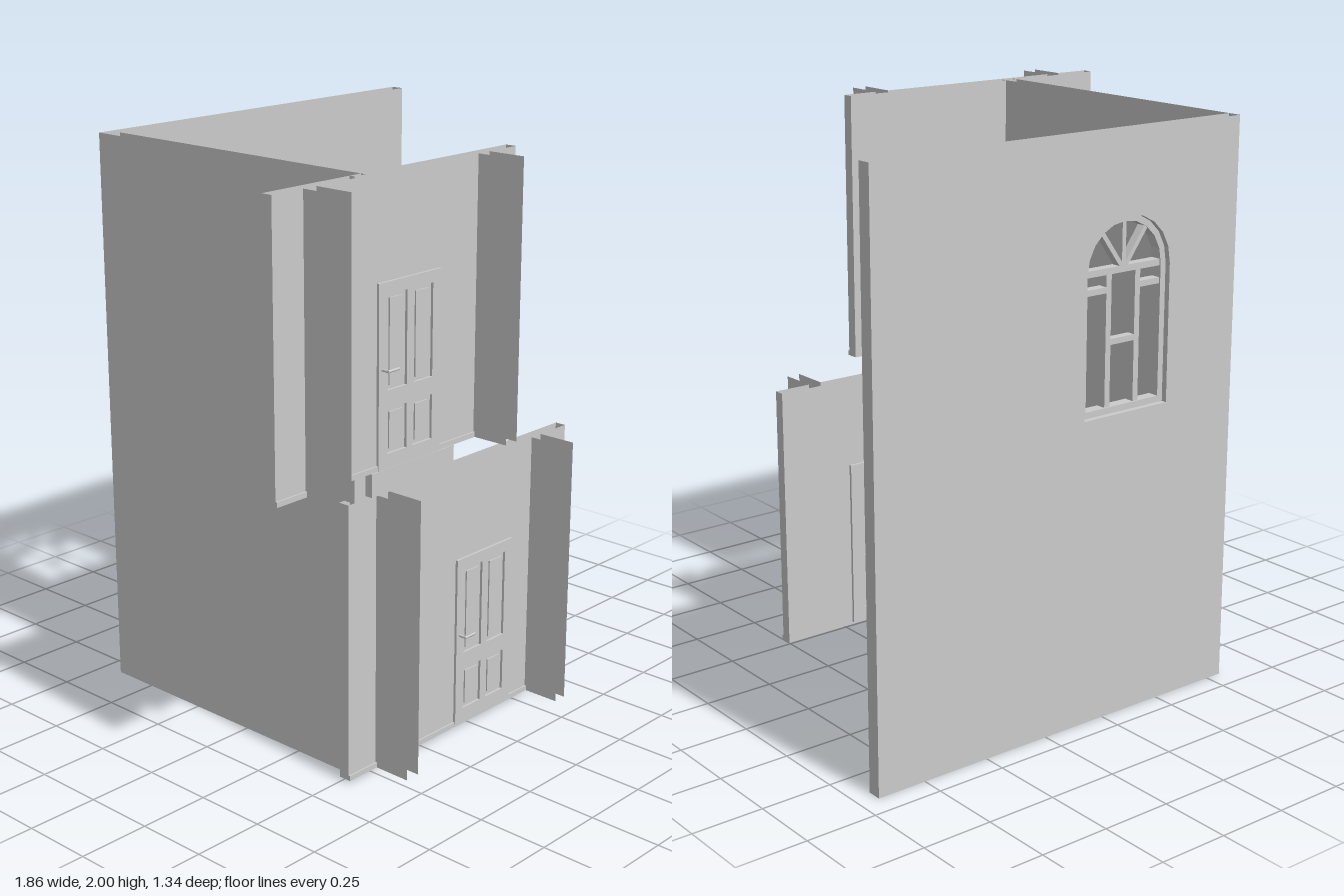
import * as THREE from 'three';

const mat = new THREE.MeshStandardMaterial({ color: 0xcccccc, side: THREE.DoubleSide });
const oneSided = new THREE.MeshStandardMaterial({ color: 0xcccccc });
const V = (x, y, z) => new THREE.Vector3(x, y, z);

function add(parent, name, geo, material = mat) {
  const m = new THREE.Mesh(geo, material);
  m.name = name;
  parent.add(m);
  return m;
}

// box given by its limits
function box(parent, name, x0, x1, y0, y1, z0, z1) {
  const g = new THREE.BoxGeometry(x1 - x0, y1 - y0, z1 - z0);
  g.translate((x0 + x1) / 2, (y0 + y1) / 2, (z0 + z1) / 2);
  return add(parent, name, g);
}

// folded sheet: a polyline swept by an offset
function ribbon(parent, name, pts, offset) {
  const pos = [];
  for (let i = 0; i < pts.length - 1; i++) {
    const a = pts[i], b = pts[i + 1];
    const c = b.clone().add(offset), d = a.clone().add(offset);
    for (const p of [a, b, c, a, c, d]) pos.push(p.x, p.y, p.z);
  }
  const g = new THREE.BufferGeometry();
  g.setAttribute('position', new THREE.Float32BufferAttribute(pos, 3));
  g.computeVertexNormals();
  return add(parent, name, g);
}

// square bar between two points in a plane of constant x
function bar(parent, name, x, y0, z0, y1, z1, w, h) {
  const len = Math.hypot(y1 - y0, z1 - z0);
  const m = add(parent, name, new THREE.BoxGeometry(w, h, len));
  m.position.set(x, (y0 + y1) / 2, (z0 + z1) / 2);
  m.rotation.x = -Math.atan2(y1 - y0, z1 - z0);
  return m;
}

function newel(parent, x, z, y0, y1) {
  const g = new THREE.Group();
  g.name = 'newelPost';
  box(g, 'post', x - 0.02, x + 0.02, y0, y1 - 0.025, z - 0.02, z + 0.02);
  const cap = add(g, 'cap', new THREE.CylinderGeometry(0.04, 0.029, 0.018, 4, 1).rotateY(Math.PI / 4));
  cap.position.set(x, y1 - 0.022, z);
  box(g, 'capTop', x - 0.03, x + 0.03, y1 - 0.013, y1, z - 0.03, z + 0.03);
  parent.add(g);
}

const turned = [[0.009, 0], [0.009, 0.13], [0.005, 0.16], [0.012, 0.24], [0.013, 0.3],
  [0.006, 0.68], [0.01, 0.7], [0.006, 0.74], [0.009, 0.8], [0.009, 1]];
function baluster(parent, x, z, y0, y1) {
  const pts = turned.map(([r, t]) => new THREE.Vector2(r, t * (y1 - y0)));
  add(parent, 'baluster', new THREE.LatheGeometry(pts, 8)).position.set(x, y0, z);
}

// partition with two stubs of crossing walls on its front
function partition(parent, name, x0, x1, y0, y1, stubs) {
  const g = new THREE.Group();
  g.name = name;
  const up = V(0, y1 - y0, 0), zi = 0.49, zo = 0.53, ze = 0.67;
  ribbon(g, 'innerFace', [V(x0, y0, zo), V(x0, y0, zi), V(x1, y0, zi), V(x1, y0, zo)], up);
  const edges = [x0, ...stubs.flat(), x1];
  for (let i = 0; i < edges.length; i += 2) {
    const a = edges[i], b = edges[i + 1], path = [V(a, y0, zo), V(b, y0, zo)];
    if (i > 0) path.unshift(V(a, y0, ze));
    if (i + 2 < edges.length) path.push(V(b, y0, ze));
    ribbon(g, 'outerFace', path, up);
    box(g, 'skirting', a, b, y0, y0 + 0.018, zo, zo + 0.006);
  }
  parent.add(g);
}

// four-panel door with frame, lever handle and hinges
function door(parent, name, x0, y0) {
  const g = new THREE.Group();
  g.name = name;
  const w = 0.295, h = 0.61, s = new THREE.Shape();
  s.moveTo(0, 0).lineTo(w, 0).lineTo(w, h).lineTo(0, h).closePath();
  for (const px of [0.04, 0.163]) for (const [b, t] of [[0.05, 0.2], [0.26, 0.57]]) {
    const p = new THREE.Path();
    p.moveTo(px, b).lineTo(px, t).lineTo(px + 0.092, t).lineTo(px + 0.092, b).closePath();
    s.holes.push(p);
    box(g, 'raisedPanel', px + 0.014, px + 0.078, b + 0.014, t - 0.014, 0.485, 0.535);
  }
  for (const z of [0.53, 0.482]) {
    add(g, 'leaf', new THREE.ExtrudeGeometry(s, { depth: 0.009, bevelEnabled: false })).position.z = z;
  }
  box(g, 'jamb', -0.012, 0, 0, h + 0.012, 0.479, 0.489);
  box(g, 'jamb', w, w + 0.012, 0, h + 0.012, 0.479, 0.489);
  box(g, 'lintel', -0.012, w + 0.012, h, h + 0.014, 0.479, 0.489);
  const lever = add(g, 'lever', new THREE.CylinderGeometry(0.005, 0.005, 0.052, 8).rotateZ(Math.PI / 2));
  lever.position.set(0.038, 0.332, 0.566);
  add(g, 'spindle', new THREE.CylinderGeometry(0.005, 0.005, 0.03, 8).rotateX(Math.PI / 2)).position.set(0.016, 0.332, 0.553);
  for (const y of [0.07, 0.57]) box(g, 'hinge', w, w + 0.006, y - 0.012, y + 0.012, 0.53, 0.538);
  g.position.set(x0, y0, 0);
  parent.add(g);
}

function archPath(T, cx, r, y0, spring) {
  const p = new T();
  p.moveTo(cx - r, y0).lineTo(cx + r, y0).lineTo(cx + r, spring);
  for (let i = 1; i <= 10; i++) {
    const a = (i / 10) * Math.PI;
    p.lineTo(cx + r * Math.cos(a), spring + r * Math.sin(a));
  }
  p.closePath();
  return p;
}

export function createModel() {
  const root = new THREE.Group();
  root.name = 'stairwell';
  const wx = -0.08, sill = 1.07, spring = 1.545, R = 0.18;

  // back wall with arched opening
  for (const z of [-0.62, -0.67]) {
    const s = new THREE.Shape();
    s.moveTo(-0.56, 0).lineTo(0.93, 0).lineTo(0.93, 2).lineTo(-0.56, 2).closePath();
    s.holes.push(archPath(THREE.Path, wx, R, sill, spring));
    add(root, 'backWall', new THREE.ShapeGeometry(s)).position.z = z;
  }
  ribbon(root, 'backWallEnd', [V(0.93, 0, -0.67), V(0.93, 0, -0.62)], V(0, 2, 0));
  const reveal = archPath(THREE.Shape, wx, R, sill, spring).getPoints().map((p) => V(p.x, p.y, -0.67));
  ribbon(root, 'windowReveal', reveal, V(0, 0, 0.05));

  // side wall
  ribbon(root, 'sideWall', [V(-0.51, 0, -0.62), V(-0.51, 0, 0.51), V(-0.56, 0, 0.51), V(-0.56, 0, -0.67)], V(0, 2, 0));

  // window frame, mullions, transoms and fan bars
  const win = new THREE.Group();
  win.name = 'window';
  const frame = archPath(THREE.Shape, wx, R, sill, spring);
  frame.holes.push(archPath(THREE.Path, wx, R - 0.022, sill + 0.022, spring));
  add(win, 'frame', new THREE.ExtrudeGeometry(frame, { depth: 0.04, bevelEnabled: false })).position.z = -0.65;
  for (const s of [-1, 1]) {
    const mx = wx + s * 0.062;
    box(win, 'mullion', mx - 0.011, mx + 0.011, sill, spring + 0.01, -0.645, -0.615);
    box(win, 'sideTransom', Math.min(mx, wx + s * R), Math.max(mx, wx + s * R), 1.475, 1.495, -0.645, -0.61);
  }
  box(win, 'springTransom', wx - R, wx + R, spring - 0.01, spring + 0.012, -0.645, -0.61);
  box(win, 'centreTransom', wx - 0.062, wx + 0.062, 1.3, 1.32, -0.645, -0.615);
  for (const a of [0.3, 0.5, 0.7].map((t) => t * Math.PI)) {
    const m = add(win, 'fanBar', new THREE.BoxGeometry(R, 0.016, 0.03));
    m.position.set(wx + Math.cos(a) * R / 2, spring + Math.sin(a) * R / 2, -0.63);
    m.rotation.z = a;
  }
  root.add(win);

  // floor underside
  add(root, 'floor', new THREE.PlaneGeometry(0.8, 1.13).rotateX(Math.PI / 2).translate(-0.11, 0.005, -0.055), oneSided);

  // lower flight and half landing
  const run = 0.0715, rise = 0.0663;
  const low = [V(0, 0, 0.26)];
  for (let i = 0; i < 8; i++) {
    low.push(V(0, rise * (i + 1), 0.26 - run * i));
    low.push(V(0, rise * (i + 1), i < 7 ? 0.26 - run * (i + 1) : -0.62));
  }
  ribbon(root, 'lowerFlight', low.map((p) => p.clone().setX(-0.1)), V(0.39, 0, 0));
  const side = new THREE.Shape([...low.map((p) => new THREE.Vector2(-p.z, p.y)), new THREE.Vector2(0.62, 0)]);
  for (const x of [0.29, -0.1]) {
    add(root, 'stairSide', new THREE.ShapeGeometry(side).rotateY(Math.PI / 2).translate(x, 0, 0));
  }

  // upper flight and top landing
  const high = [V(-0.51, 0.53, -0.62)];
  for (let i = 0; i < 8; i++) {
    const z = -0.18 + 0.072 * i, y = 0.53 + 0.065 * i;
    high.push(V(-0.51, y, z), V(-0.51, y + 0.065, z));
  }
  high.push(V(-0.51, 1.05, 0.535));
  ribbon(root, 'upperFlight', high, V(0.4, 0, 0));
  box(root, 'landingEdge', -0.51, -0.11, 0.97, 1.049, 0.49, 0.538);

  // balustrades
  const rails = new THREE.Group();
  rails.name = 'balustrade';
  const xl = -0.075, xu = -0.14;
  newel(rails, xl, 0.31, 0, 0.315);
  newel(rails, xl, -0.212, 0.46, 0.74);
  newel(rails, xu, -0.215, 0.53, 0.84);
  newel(rails, xu, 0.355, 0.985, 1.33);
  bar(rails, 'lowerHandrail', xl, 0.265, 0.3, 0.705, -0.2, 0.03, 0.024);
  bar(rails, 'upperHandrail', xu, 0.785, -0.205, 1.27, 0.34, 0.03, 0.024);
  bar(rails, 'landingHandrail', xu, 1.282, 0.37, 1.282, 0.5, 0.03, 0.022);
  box(rails, 'wallPost', xu - 0.015, xu + 0.015, 1.05, 1.275, 0.485, 0.495);
  baluster(rails, xu, 0.435, 1.05, 1.275);
  for (let i = 0; i < 7; i++) {
    const zl = 0.225 - run * i, zu = -0.137 + 0.072 * i;
    if (i < 6) baluster(rails, xl, zl, rise * (i + 1), 0.265 + (0.3 - zl) * 0.88);
    baluster(rails, xu, zu, 0.595 + 0.065 * i, 0.785 + (zu + 0.205) * 0.89);
  }
  root.add(rails);

  // front partitions with doors
  partition(root, 'lowerPartition', -0.61, 0.51, 0.01, 0.97, [[-0.48, -0.425], [0.32, 0.37]]);
  partition(root, 'upperPartition', -0.93, 0.19, 1.05, 2, [[-0.8, -0.745], [0, 0.055]]);
  door(root, 'lowerDoor', -0.08, 0.02);
  door(root, 'upperDoor', -0.48, 1.05);
  return root;
}
